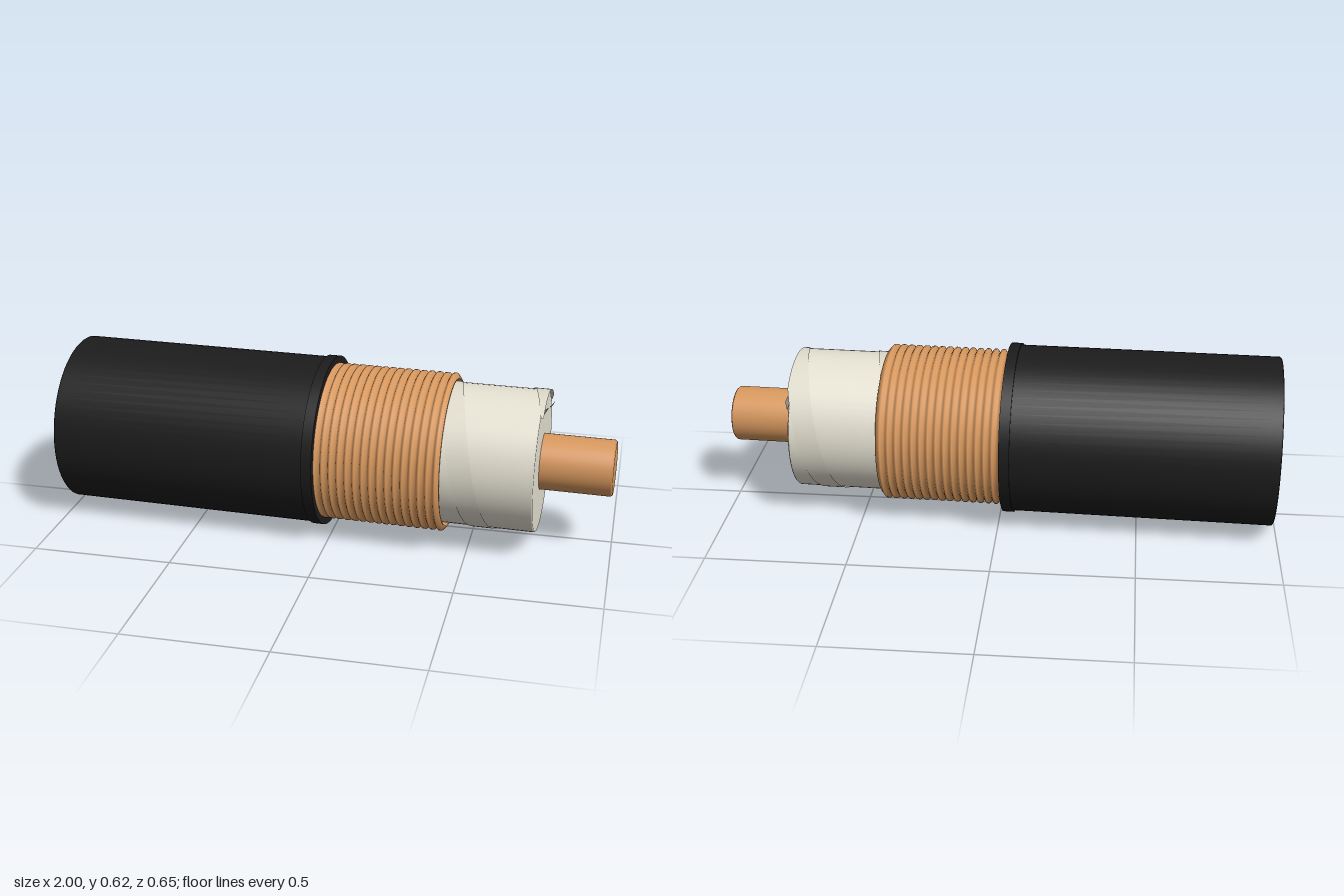
import * as THREE from 'three';

const mat = (color, side = THREE.FrontSide) => new THREE.MeshStandardMaterial({ color, side });

// Solid of revolution along x; points are [x, radius] from left to right
function turned(name, points, material) {
  const geo = new THREE.LatheGeometry(points.map(([x, r]) => new THREE.Vector2(r, x)), 64);
  geo.rotateZ(-Math.PI / 2);
  const mesh = new THREE.Mesh(geo, material);
  mesh.name = name;
  return mesh;
}

export function createModel() {
  const model = new THREE.Group();
  model.name = 'strippedCable';
  const black = mat(0x1c1c1c);
  const copper = mat(0xd9995f);
  const copperOpen = mat(0xd9995f, THREE.DoubleSide);
  const cream = mat(0xe6e2d3);
  const film = mat(0xe0dccd, THREE.DoubleSide);

  // Outer jacket with a soft-shaded closed end, and the rim at its cut
  model.add(turned('jacket', [[-0.99, 0], [-0.99, 0.298], [-0.985, 0.303], [-0.04, 0.303]], black));
  model.add(turned('jacketRim', [[-0.06, 0.302], [-0.06, 0.309], [-0.06, 0.309], [-0.022, 0.309],
    [-0.022, 0.309], [-0.022, 0.26]], black));

  // Corrugated shield: rings of crests and valleys, then a hollow end lip
  const rings = 16, x0 = -0.035, x1 = 0.42, pitch = (x1 - x0) / rings;
  const shield = [];
  for (let i = 0; i < rings; i++) {
    const x = x0 + i * pitch;
    shield.push([x, 0.267], [x + pitch * 0.35, 0.284], [x + pitch * 0.6, 0.284]);
  }
  shield.push([x1, 0.27], [x1, 0.263], [x1 - 0.02, 0.26], [x0, 0.26]);
  model.add(turned('corrugatedShield', shield, copperOpen));

  // Insulating core and centre conductor
  model.add(turned('insulation', [[-0.03, 0.253], [0.735, 0.253], [0.74, 0.249], [0.74, 0]], cream));
  model.add(turned('centreConductor', [[0.7, 0.1], [0.987, 0.1], [0.994, 0.094], [0.994, 0]], copper));

  // Film wound round the insulation as a helical band, trimmed at the end face
  const R = 0.256, turnPitch = 0.34, band = 0.08, end = 0.75;
  const steps = 96, a0 = -Math.PI / 3, a1 = Math.PI * 2.18;
  const pos = [], idx = [];
  for (let i = 0; i <= steps; i++) {
    const a = a0 + (a1 - a0) * i / steps;
    const x = 0.37 + turnPitch * a / (Math.PI * 2);
    for (const dx of [0, band]) {
      pos.push(Math.min(x + dx, end), R * Math.cos(a), R * Math.sin(a));
    }
    if (i < steps) {
      const k = i * 2;
      idx.push(k, k + 2, k + 1, k + 1, k + 2, k + 3);
    }
  }
  const wrapGeo = new THREE.BufferGeometry();
  wrapGeo.setAttribute('position', new THREE.Float32BufferAttribute(pos, 3));
  wrapGeo.setIndex(idx);
  wrapGeo.computeVertexNormals();
  const wrap = new THREE.Mesh(wrapGeo, film);
  wrap.name = 'filmWrap';
  model.add(wrap);

  // Twisted strip of film crossing the end face
  const at = (deg, x) => [x, R * Math.cos(deg * Math.PI / 180), R * Math.sin(deg * Math.PI / 180)];
  const cross = [0.748, 0.185, -0.045];
  const flapGeo = new THREE.BufferGeometry();
  flapGeo.setAttribute('position', new THREE.Float32BufferAttribute([
    ...at(33, 0.742), ...at(23, 0.752), ...cross,
    ...at(-54, 0.752), ...at(-61, 0.742), ...cross], 3));
  flapGeo.computeVertexNormals();
  const flap = new THREE.Mesh(flapGeo, mat(0x8f8e86, THREE.DoubleSide));
  flap.name = 'filmFlap';
  model.add(flap);

  // The cable lies slightly turned about the vertical
  model.rotation.y = -0.035;
  model.position.set(0, 0.31, 0.012);
  const root = new THREE.Group();
  root.name = 'cable';
  root.add(model);
  return root;
}
